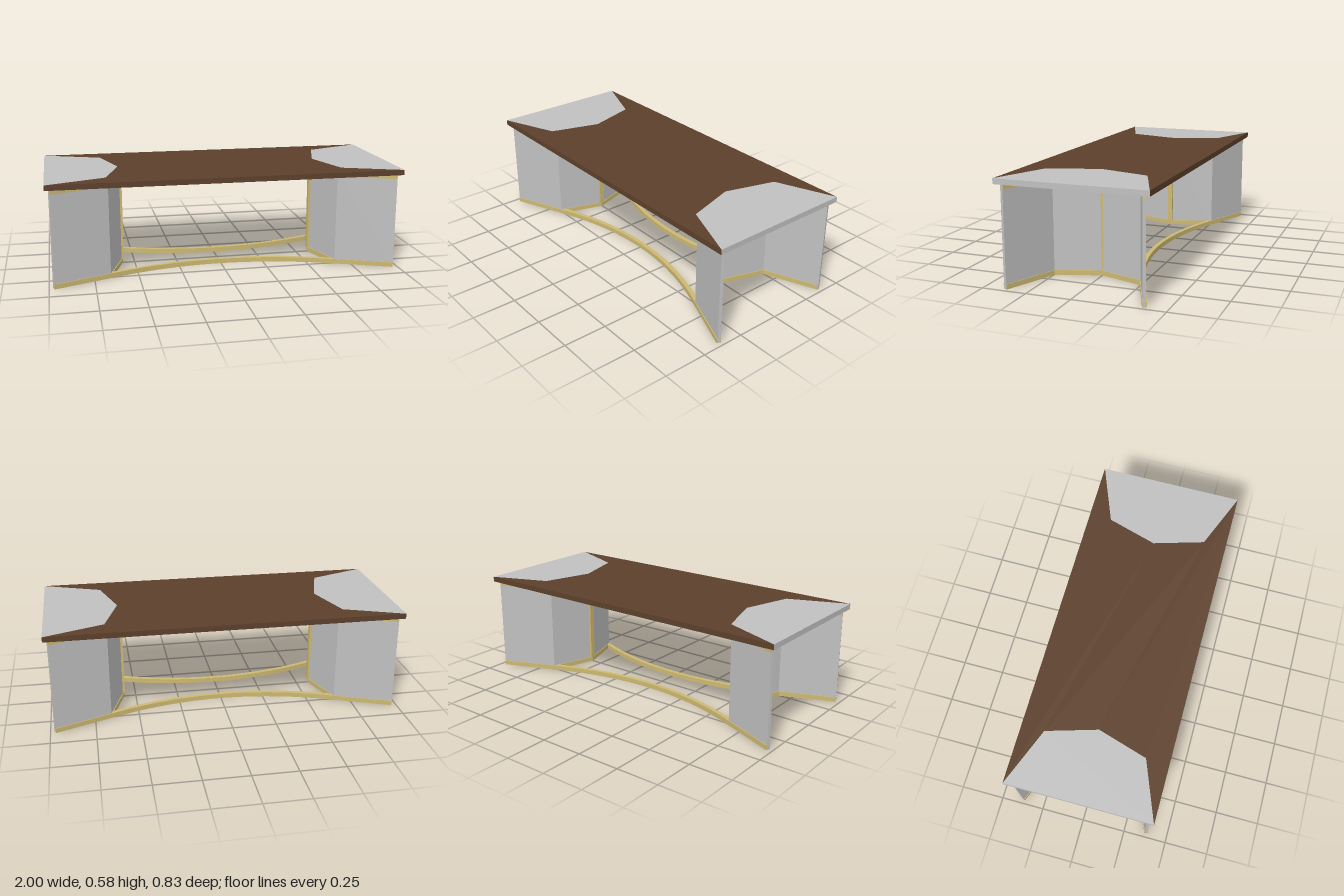
import * as THREE from 'three';

const HEIGHT = 0.553, TOP = 0.583, RAIL = 0.027;

// Extrude a plan outline of [x, z] points between two heights
function slab(name, points, y0, y1, material) {
  const shape = new THREE.Shape(points.map(([x, z]) => new THREE.Vector2(x, -z)));
  const geometry = new THREE.ExtrudeGeometry(shape, { depth: y1 - y0, bevelEnabled: false });
  geometry.rotateX(-Math.PI / 2).translate(0, y0, 0);
  const mesh = new THREE.Mesh(geometry, material);
  mesh.name = name;
  return mesh;
}

// Mitred outline of constant thickness around a plan path
function ribbon(path, thickness) {
  const pts = path.map(([x, z]) => new THREE.Vector2(x, z));
  const normal = (a, b) => {
    const d = b.clone().sub(a).normalize();
    return new THREE.Vector2(-d.y, d.x);
  };
  const left = [], right = [];
  pts.forEach((p, i) => {
    const before = normal(pts[Math.max(i - 1, 0)], pts[Math.max(i, 1)]);
    const last = pts.length - 1;
    const after = normal(pts[Math.min(i, last - 1)], pts[Math.min(i + 1, last)]);
    const mitre = before.clone().add(after).normalize();
    mitre.multiplyScalar(thickness / 2 / mitre.dot(after));
    left.push([p.x + mitre.x, p.y + mitre.y]);
    right.unshift([p.x - mitre.x, p.y - mitre.y]);
  });
  return [...left, ...right];
}

export function createModel() {
  const brown = new THREE.MeshStandardMaterial({ color: 0x5c402b });
  brown.name = 'dark wood';
  const grey = new THREE.MeshStandardMaterial({ color: 0xc0c0c0 });
  grey.name = 'light grey';
  const gold = new THREE.MeshStandardMaterial({ color: 0xcdb972 });
  gold.name = 'brass';

  const model = new THREE.Group();
  model.name = 'coffeeTable';

  // Table top: wooden centre with a grey inlay at each end
  const inlay = [[1, 0.415], [0.67, 0.285], [0.585, 0], [0.67, -0.285], [1, -0.415]];
  const mirrored = inlay.map(([x, z]) => [-x, z]).reverse();
  model.add(slab('tableTop', [...inlay, ...mirrored], HEIGHT, TOP, brown));

  const railLevels = [['bottom', 0], ['top', HEIGHT - RAIL]];
  for (const s of [-1, 1]) {
    const side = s > 0 ? 'left' : 'right';
    model.add(slab(side + 'TopInlay', inlay.map(([x, z]) => [s * x, z]), HEIGHT, TOP, grey));

    // Folded leg panel, its post and the rails along its fold
    const fold = [[s * 0.665, 0.255], [s * 0.582, 0], [s * 0.665, -0.255]];
    const panel = [[s * 0.976, 0.38], ...fold, [s * 0.976, -0.38]];
    model.add(slab(side + 'LegPanel', ribbon(panel, 0.017), 0.002, HEIGHT - 0.001, grey));

    const post = new THREE.Mesh(new THREE.BoxGeometry(0.028, HEIGHT - 2 * RAIL, 0.03), gold);
    post.position.set(s * 0.579, HEIGHT / 2, 0);
    post.name = side + 'Post';
    model.add(post);

    for (const [level, y] of railLevels)
      model.add(slab(side + level + 'LegRail', ribbon(fold, 0.026), y, y + RAIL, gold));
  }

  // Long rails: straight under the wings, bowed inward between the legs
  for (const s of [-1, 1]) {
    const bow = new THREE.QuadraticBezierCurve(
      new THREE.Vector2(-0.665, s * 0.255),
      new THREE.Vector2(0, s * -0.025),
      new THREE.Vector2(0.665, s * 0.255)
    ).getPoints(24).map((p) => [p.x, p.y]);
    const path = [[-0.974, s * 0.38], ...bow, [0.974, s * 0.38]];
    for (const [level, y] of railLevels)
      model.add(slab((s > 0 ? 'front' : 'back') + level + 'Rail', ribbon(path, 0.025), y, y + RAIL, gold));
  }
  return model;
}
